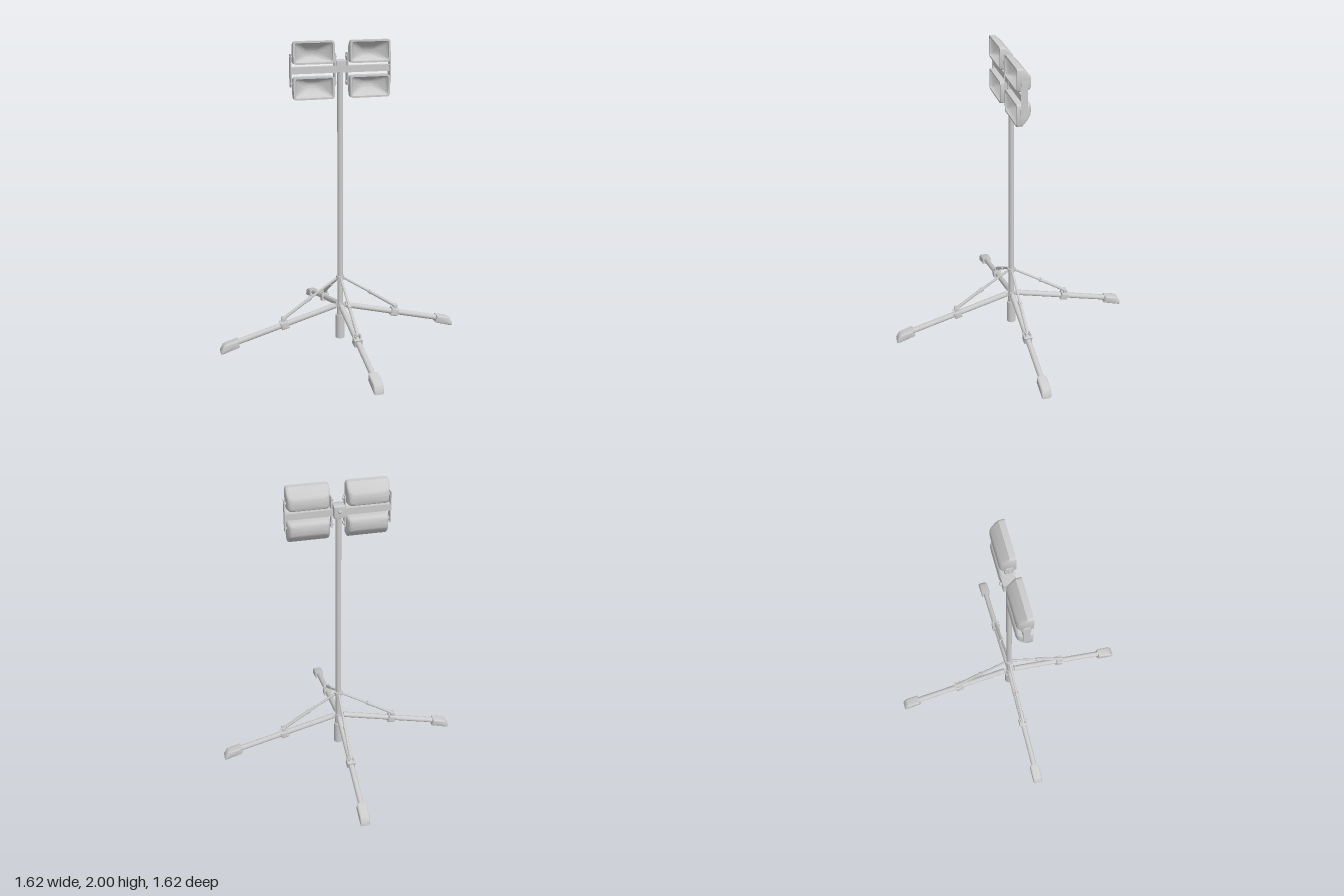
import * as THREE from 'three';
import { toCreasedNormals } from 'three/addons/utils/BufferGeometryUtils.js';

const material = new THREE.MeshStandardMaterial({ color: 0xcccccc });
const V = (x, y, z = 0) => new THREE.Vector3(x, y, z);

function add(parent, name, geometry, x = 0, y = 0, z = 0) {
  const mesh = new THREE.Mesh(geometry, material);
  mesh.name = name;
  mesh.position.set(x, y, z);
  parent.add(mesh);
  return mesh;
}

const box = (parent, name, w, h, d, x, y, z) =>
  add(parent, name, new THREE.BoxGeometry(w, h, d), x, y, z);

// Cylinder between two points
function rod(parent, name, a, b, r, sides = 20) {
  const dir = b.clone().sub(a);
  const mesh = add(parent, name, new THREE.CylinderGeometry(r, r, dir.length(), sides));
  mesh.position.copy(a).add(b).multiplyScalar(0.5);
  mesh.quaternion.setFromUnitVectors(V(0, 1), dir.normalize());
  return mesh;
}

// Extruded side profile, centred on z, with rounded edges
function slab(points, width, bevel) {
  const shape = new THREE.Shape(points.map(([x, y]) => new THREE.Vector2(x, y)));
  const geometry = new THREE.ExtrudeGeometry(shape, {
    depth: width - 2 * bevel, bevelThickness: bevel, bevelSize: bevel,
    bevelOffset: -bevel, bevelSegments: 4,
  });
  geometry.translate(0, 0, bevel - width / 2);
  return toCreasedNormals(geometry, 0.6);
}

// Rounded rectangle ring at depth z
function ring(z, halfW, low, high, radius) {
  const points = [], steps = 5;
  const cy = (low + high) / 2, halfH = (high - low) / 2;
  const r = Math.min(radius, halfW, halfH);
  [[1, 1], [-1, 1], [-1, -1], [1, -1]].forEach(([sx, sy], corner) => {
    for (let i = 0; i <= steps; i++) {
      const a = (corner + i / steps) * Math.PI / 2;
      points.push([sx * (halfW - r) + r * Math.cos(a), cy + sy * (halfH - r) + r * Math.sin(a), z]);
    }
  });
  return points;
}

// Skin over a series of closed rings
function loft(rings) {
  const n = rings[0].length, index = [];
  for (let i = 0; i < rings.length - 1; i++) {
    for (let j = 0; j < n; j++) {
      const k = (j + 1) % n;
      const a = i * n + j, b = i * n + k, c = (i + 1) * n + k, d = (i + 1) * n + j;
      index.push(a, b, c, a, c, d);
    }
  }
  const geometry = new THREE.BufferGeometry();
  geometry.setAttribute('position', new THREE.Float32BufferAttribute(rings.flat(2), 3));
  geometry.setIndex(index);
  return toCreasedNormals(geometry, 0.7);
}

// Lamp housing: rounded sloping back, flat rim and a dished reflector
function lampGeometry() {
  const rings = [
    ring(-0.036, 0, -0.025, -0.025, 0),
    ring(-0.036, 0.104, -0.052, 0.004, 0.02),
    ring(-0.032, 0.114, -0.060, 0.013, 0.02),
    ring(-0.022, 0.122, -0.067, 0.026, 0.02),
    ring(0.000, 0.128, -0.070, 0.050, 0.02),
    ring(0.020, 0.130, -0.070, 0.070, 0.018),
    ring(0.055, 0.130, -0.070, 0.070, 0.018),
    ring(0.055, 0.119, -0.059, 0.059, 0.012),
    ring(0.046, 0.117, -0.057, 0.057, 0.012),
  ];
  for (let i = 1; i <= 8; i++) {
    const s = 1 - i / 8, deep = 1 - s * s;
    const cy = -0.012 * deep;
    rings.push(ring(0.046 - 0.056 * deep, 0.117 * s, cy - 0.057 * s, cy + 0.057 * s, 0.012 + 0.02 * deep));
  }
  return loft(rings);
}

// One leg along +x with clamp, foot and folding brace
function buildLeg() {
  const leg = new THREE.Group();
  leg.name = 'leg';
  const slope = Math.atan2(-0.183, 0.69);
  rod(leg, 'legTube', V(0.035, 0.245), V(0.725, 0.062), 0.0185);
  box(leg, 'legHinge', 0.04, 0.026, 0.014, 0.03, 0.243, 0);
  const pin = rod(leg, 'hingePin', V(0.03, 0.243, -0.014), V(0.03, 0.243, 0.014), 0.008, 12);
  pin.name = 'hingePin';

  add(leg, 'foot', slab([
    [0.686, 0.040], [0.695, 0.091], [0.776, 0.070], [0.792, 0.060],
    [0.811, 0.026], [0.811, 0.004], [0.800, 0.004],
  ], 0.064, 0.012));

  // Clamp with a brace lug on top
  const clamp = add(leg, 'legClamp', slab([
    [-0.026, -0.026], [0.026, -0.026], [0.026, 0.026], [-0.026, 0.026],
  ], 0.056, 0.008), 0.384, 0.153);
  clamp.rotation.z = slope;
  for (const z of [-0.014, 0.014]) box(leg, 'braceLug', 0.026, 0.036, 0.008, 0.389, 0.187, z);
  rod(leg, 'bracePin', V(0.389, 0.193, -0.023), V(0.389, 0.193, 0.023), 0.007, 12);

  // Two part brace with a joint in the middle
  const outer = V(0.392, 0.193), middle = V(0.212, 0.315), inner = V(0.018, 0.443);
  rod(leg, 'lowerBrace', outer, middle, 0.0105, 14);
  rod(leg, 'upperBrace', middle, inner, 0.008, 14);
  const along = inner.clone().sub(outer).normalize().multiplyScalar(0.011);
  rod(leg, 'braceJoint', middle.clone().sub(along), middle.clone().add(along), 0.0135, 14);
  return leg;
}

export function createModel() {
  const model = new THREE.Group();
  model.name = 'floodlightStand';

  // Pole with its collars and the lower sleeve
  rod(model, 'pole', V(0, 0.17), V(0, 1.86), 0.018, 24);
  rod(model, 'lowerSleeve', V(0, 0.015), V(0, 0.18), 0.031, 28);
  rod(model, 'lowerHub', V(0, 0.18), V(0, 0.262), 0.022, 24);
  rod(model, 'braceCollar', V(0, 0.43), V(0, 0.458), 0.027, 24);

  // Four legs
  for (let i = 0; i < 4; i++) {
    const leg = buildLeg();
    leg.rotation.y = i * Math.PI / 2;
    model.add(leg);
  }

  // Pole head, crossbar and clamping knob
  add(model, 'poleHead', slab([
    [-0.033, 1.80], [0.033, 1.80], [0.033, 1.876], [-0.033, 1.876],
  ], 0.072, 0.004), 0, 0, -0.006);
  box(model, 'crossbar', 0.64, 0.042, 0.036, 0, 1.822, 0.012);
  rod(model, 'knobStem', V(0, 1.845, -0.04), V(0, 1.845, -0.05), 0.009, 14);
  add(model, 'knob', new THREE.SphereGeometry(0.011, 16, 10), 0, 1.845, -0.047);

  // Pairs of lamps held between side brackets
  const lamp = lampGeometry();
  for (const side of [1, -1]) {
    add(model, 'upperLamp', lamp, side * 0.18, 1.93, 0);
    add(model, 'lowerLamp', lamp, side * 0.18, 1.714, 0).rotation.z = Math.PI;
    for (const x of [0.041, 0.319]) {
      box(model, 'sideBracket', 0.007, 0.2, 0.04, side * x, 1.822, 0.014);
      for (const y of [1.742, 1.902]) {
        rod(model, 'pivotBolt', V(side * (x - 0.012), y, 0.014), V(side * (x + 0.005), y, 0.014), 0.01, 14);
      }
    }
  }
  return model;
}
